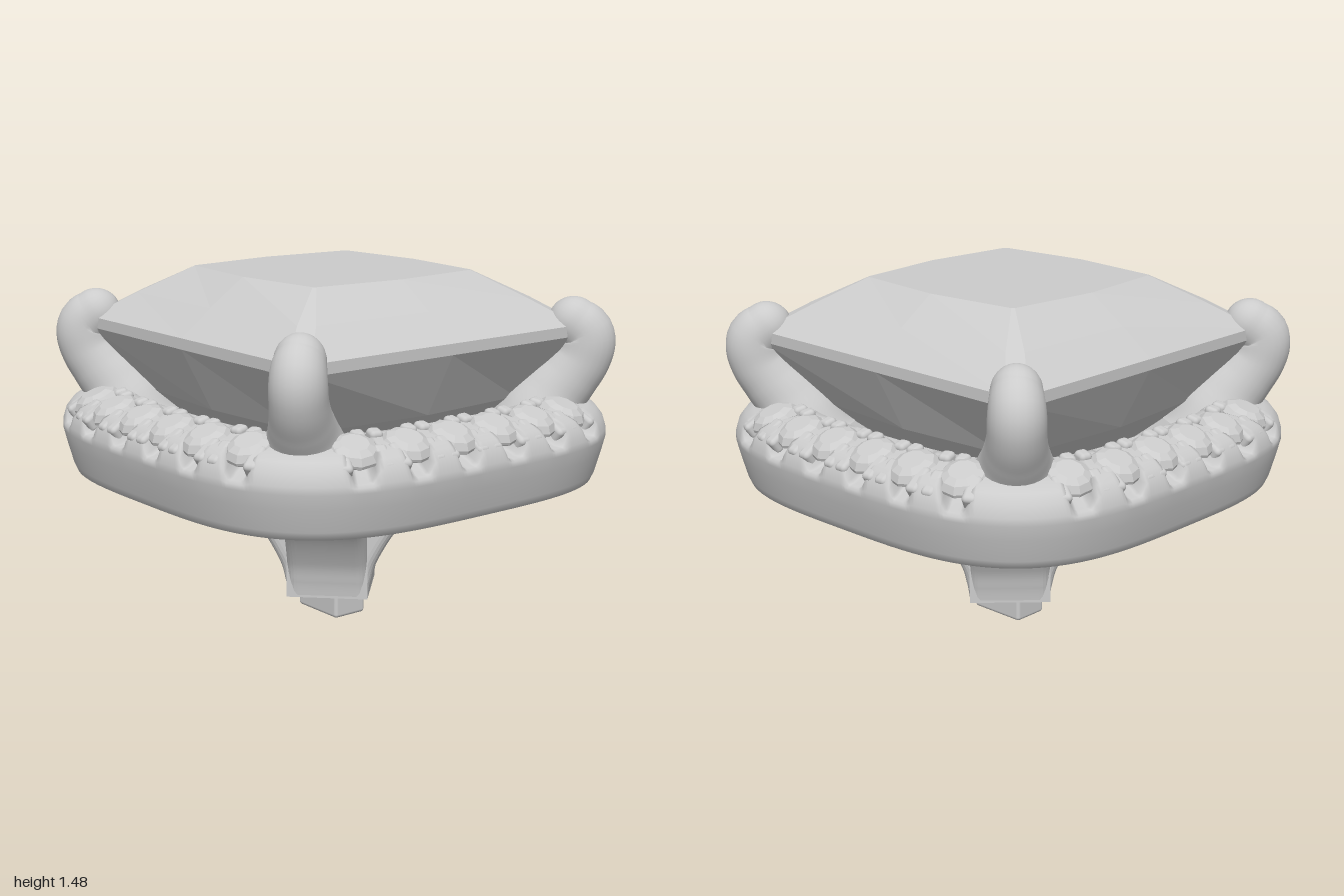
import * as THREE from 'three';
import { RoundedBoxGeometry } from 'three/addons/geometries/RoundedBoxGeometry.js';

const metal = new THREE.MeshStandardMaterial({ color: 0xcccccc });
const facet = new THREE.MeshStandardMaterial({ color: 0xcccccc, flatShading: true });
const N = 3.4;        // roundness of the cushion outline
const STEP = 0.217;   // spacing of the small stones

function add(parent, name, geometry, material = metal) {
  const mesh = new THREE.Mesh(geometry, material);
  mesh.name = name;
  parent.add(mesh);
  return mesh;
}

// Skin a list of closed rings, each a list of [x, y, z]
function loft(rings) {
  const n = rings[0].length, index = [];
  for (let j = 0; j < rings.length - 1; j++) {
    for (let i = 0; i < n; i++) {
      const k = (i + 1) % n;
      const a = j * n + i, b = a + n, c = (j + 1) * n + k, d = j * n + k;
      index.push(a, b, c, a, c, d);
    }
  }
  const g = new THREE.BufferGeometry();
  g.setAttribute('position', new THREE.Float32BufferAttribute(rings.flat(2), 3));
  g.setIndex(index);
  g.computeVertexNormals();
  return g;
}

// Cushion-shaped frame; its top is scooped out under every small stone
function haloGeometry() {
  // half width, height, depth of scoop (repeated points keep an edge sharp)
  const profile = [
    [0.925, 0.62, 0], [0.95, 0.628, 0], [0.963, 0.66, 0], [0.985, 0.75, 0], [0.998, 0.81, 0],
    [0.997, 0.84, 0.01], [0.985, 0.885, 0.045], [0.96, 0.922, 0.08], [0.93, 0.94, 0.085],
    [0.87, 0.955, 0.085], [0.81, 0.965, 0.06], [0.775, 0.97, 0.03], [0.74, 0.967, 0],
    [0.71, 0.94, 0], [0.69, 0.88, 0], [0.68, 0.62, 0], [0.68, 0.62, 0], [0.925, 0.62, 0],
  ];
  const segments = 480;
  return loft(profile.map(([w, y, drop]) => Array.from({ length: segments }, (_, i) => {
    const a = i / segments * Math.PI * 2, c = Math.cos(a), s = Math.sin(a);
    const r = 1 / Math.pow(Math.abs(c) ** N + Math.abs(s) ** N, 1 / N);
    const t = 0.9 * r * Math.min(Math.abs(c), Math.abs(s));
    const wave = 0.5 - 0.5 * Math.cos(t / STEP * Math.PI * 2);
    const scoop = t < 3 * STEP ? THREE.MathUtils.smoothstep(wave, 0.4, 0.85) : 0;
    return [w * r * c, y - drop * scoop, 0.99 * w * r * s];
  })));
}

// Square step-cut stone: three points per quarter turn
function centreStoneGeometry() {
  const ring = (y, mid, side, corner) => {
    const pts = [];
    for (let q = 0; q < 4; q++) {
      const c = [1, 0, -1, 0][q], s = [0, 1, 0, -1][q];
      for (const [x, z] of [[mid, 0], [side, corner], [corner, side]])
        pts.push([x * c - z * s, y, x * s + z * c]);
    }
    return pts;
  };
  return loft([
    ring(0.42, 0, 0, 0), ring(0.96, 0.61, 0.57, 0.52), ring(1.22, 0.75, 0.75, 0.69),
    ring(1.265, 0.75, 0.75, 0.69), ring(1.37, 0.61, 0.6, 0.55),
    ring(1.48, 0.45, 0.41, 0.4), ring(1.48, 0, 0, 0),
  ]);
}

// Claw: oval sweep in the x-y plane, flaring at the foot, domed at the tip
function clawGeometry() {
  // reach, height, radius
  const path = new THREE.CatmullRomCurve3([
    [0.86, 0.82, 0.23], [0.885, 0.91, 0.185], [0.925, 0.98, 0.15], [0.985, 1.05, 0.13],
    [1.035, 1.12, 0.12], [1.055, 1.19, 0.118], [1.045, 1.235, 0.114], [1.0, 1.272, 0.106],
  ].map(p => new THREE.Vector3(...p)));
  const rings = [], steps = 36;
  const ring = (p, t, r) => rings.push(Array.from({ length: 24 }, (_, i) => {
    const a = i / 24 * Math.PI * 2, u = r * Math.cos(a);
    return [p.x + t.y * u, p.y - t.x * u, 0.92 * r * Math.sin(a)];
  }));
  const along = u => path.getTangentAt(u).setZ(0).normalize();
  for (let i = 0; i <= steps; i++) {
    const p = path.getPointAt(i / steps);
    ring(p, along(i / steps), p.z);
  }
  const end = path.getPointAt(1), dir = along(1);
  for (let i = 1; i <= 8; i++) {
    const a = i / 8 * Math.PI / 2;
    ring(end.clone().addScaledVector(dir, end.z * Math.sin(a)), dir, end.z * Math.cos(a));
  }
  return loft(rings);
}

// Curved leg: side profile extruded to a thick rounded strap
function legGeometry() {
  const s = new THREE.Shape();
  s.moveTo(0, 0.1);
  s.lineTo(0.17, 0.1);
  s.splineThru([[0.182, 0.17], [0.21, 0.26], [0.295, 0.4], [0.42, 0.525], [0.54, 0.62], [0.76, 0.78], [0.9, 0.87]]
    .map(p => new THREE.Vector2(...p)));
  s.lineTo(0.8, 0.93);
  s.splineThru([[0.6, 0.79], [0.41, 0.64], [0.17, 0.45], [0, 0.36]].map(p => new THREE.Vector2(...p)));
  const bevel = 0.045;
  const g = new THREE.ExtrudeGeometry(s, {
    depth: 0.34 - 2 * bevel, curveSegments: 24,
    bevelThickness: bevel, bevelSize: bevel, bevelOffset: -bevel, bevelSegments: 5,
  });
  return g.translate(0, 0, -0.17 + bevel);
}

// Place a mesh on the front run of the frame, turned and tilted with it
function seat(mesh, t, w, y, tilt) {
  const z = w * (1 - (Math.abs(t) / w) ** N) ** (1 / N);
  mesh.position.set(t, y, 0.99 * z);
  mesh.rotation.set(tilt, Math.sign(t) * Math.atan((Math.abs(t) / z) ** (N - 1)), 0, 'YXZ');
}

export function createModel() {
  const model = new THREE.Group();
  model.name = 'squareGemSetting';

  add(model, 'halo', haloGeometry());
  add(model, 'centreStone', centreStoneGeometry(), facet);

  // Claws and legs on the four diagonals
  const claw = clawGeometry(), leg = legGeometry();
  for (let q = 0; q < 4; q++) {
    const corner = new THREE.Group();
    corner.name = 'cornerSupport';
    corner.rotation.y = Math.PI / 4 + q * Math.PI / 2;
    add(corner, 'claw', claw);
    add(corner, 'leg', leg);
    model.add(corner);
  }

  // Base block and peg
  const base = add(model, 'base', new THREE.BoxGeometry(0.343, 0.26, 0.343));
  base.position.y = 0.23;
  base.rotation.y = Math.PI / 4;
  add(model, 'peg', new RoundedBoxGeometry(0.26, 0.14, 0.16, 3, 0.015)).position.y = 0.07;

  // Small round-cut stones with gripping tabs in the gaps, on each side
  const gem = new THREE.LatheGeometry(
    [[0, -0.085], [0.104, -0.012], [0.104, 0], [0.085, 0.025], [0.055, 0.04], [0, 0.04]]
      .map(p => new THREE.Vector2(...p)), 10);
  const outerTab = new RoundedBoxGeometry(0.058, 0.07, 0.12, 3, 0.018);
  const innerTab = new RoundedBoxGeometry(0.055, 0.07, 0.06, 3, 0.018);
  for (let q = 0; q < 4; q++) {
    const side = new THREE.Group();
    side.name = 'smallStoneRow';
    side.rotation.y = q * Math.PI / 2;
    for (let i = 0; i < 6; i++) {
      const t = (i - 2.5) * STEP;
      seat(add(side, 'smallStone', gem, facet), t, 0.875, 0.935, 0.38);
      // A tab either side of each stone, outside and inside
      for (const d of [-0.075, 0.075]) {
        seat(add(side, 'outerTab', outerTab), t + d, 0.925, 0.902, 0.6);
        if (Math.abs(t + d) < 0.6) seat(add(side, 'innerTab', innerTab), t + d, 0.79, 0.955, 0.2);
      }
    }
    model.add(side);
  }
  return model;
}
